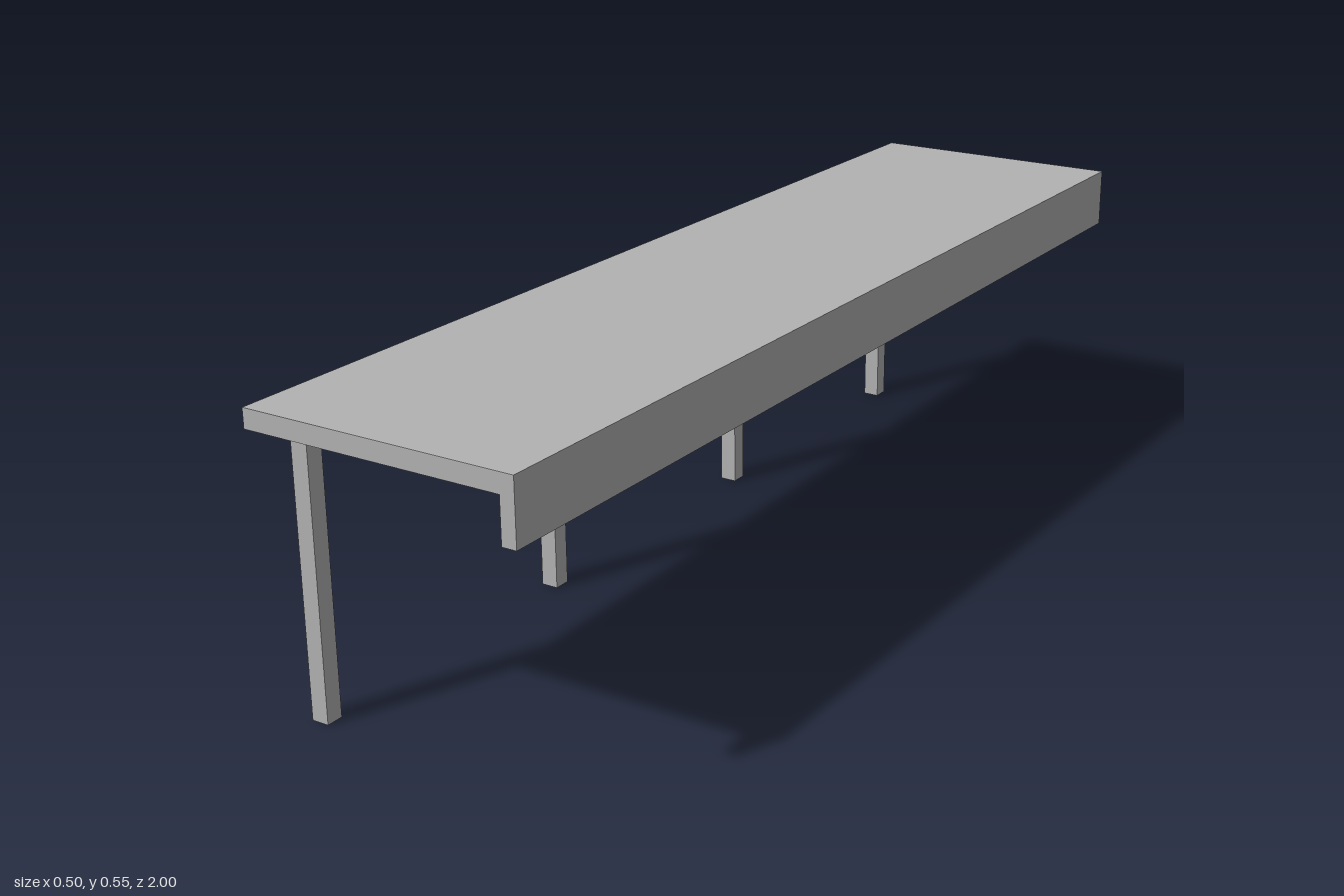
import * as THREE from 'three';

export function createModel() {
  const group = new THREE.Group();
  const grey = new THREE.MeshStandardMaterial({ color: 0xb2b2b2 });
  grey.name = 'concrete grey';

  // Box given by its minimum and maximum corners
  const block = (parent, name, [x0, y0, z0], [x1, y1, z1]) => {
    const mesh = new THREE.Mesh(new THREE.BoxGeometry(x1 - x0, y1 - y0, z1 - z0), grey);
    mesh.position.set((x0 + x1) / 2, (y0 + y1) / 2, (z0 + z1) / 2);
    mesh.name = name;
    parent.add(mesh);
    return mesh;
  };

  // Roof slab with a deep fascia along its front edge, one L-shaped section
  const section = new THREE.Shape([
    [-0.25, 0.552], [-0.25, 0.518], [0.224, 0.518],
    [0.224, 0.44], [0.25, 0.44], [0.25, 0.552],
  ].map(([x, y]) => new THREE.Vector2(x, y)));
  const roofGeometry = new THREE.ExtrudeGeometry(section, { depth: 2, bevelEnabled: false });
  roofGeometry.translate(0, 0, -1);
  const roof = new THREE.Mesh(roofGeometry, grey);
  roof.name = 'roof';
  group.add(roof);

  // Ceiling board under the roof
  block(group, 'ceilingPanel', [-0.217, 0.512, -0.967], [0.217, 0.518, 0.967]);

  // Channel-section posts, open to the back, each carrying a cross beam
  const wall = 0.004, half = 0.016;
  const channel = new THREE.Shape([
    [-0.242, -half], [-0.21, -half], [-0.21, half], [-0.242, half],
    [-0.242, half - wall], [-0.21 - wall, half - wall],
    [-0.21 - wall, wall - half], [-0.242, wall - half],
  ].map(([x, z]) => new THREE.Vector2(x, z)));
  const postGeometry = new THREE.ExtrudeGeometry(channel, { depth: 0.518, bevelEnabled: false });
  postGeometry.rotateX(-Math.PI / 2);

  for (const z of [-0.9, -0.3, 0.3, 0.9]) {
    const frame = new THREE.Group();
    frame.name = 'frame';
    frame.position.z = z;
    const post = new THREE.Mesh(postGeometry, grey);
    post.name = 'post';
    frame.add(post);
    block(frame, 'crossBeam', [-0.21, 0.502, -half], [0.224, 0.514, half]);
    group.add(frame);
  }
  return group;
}
